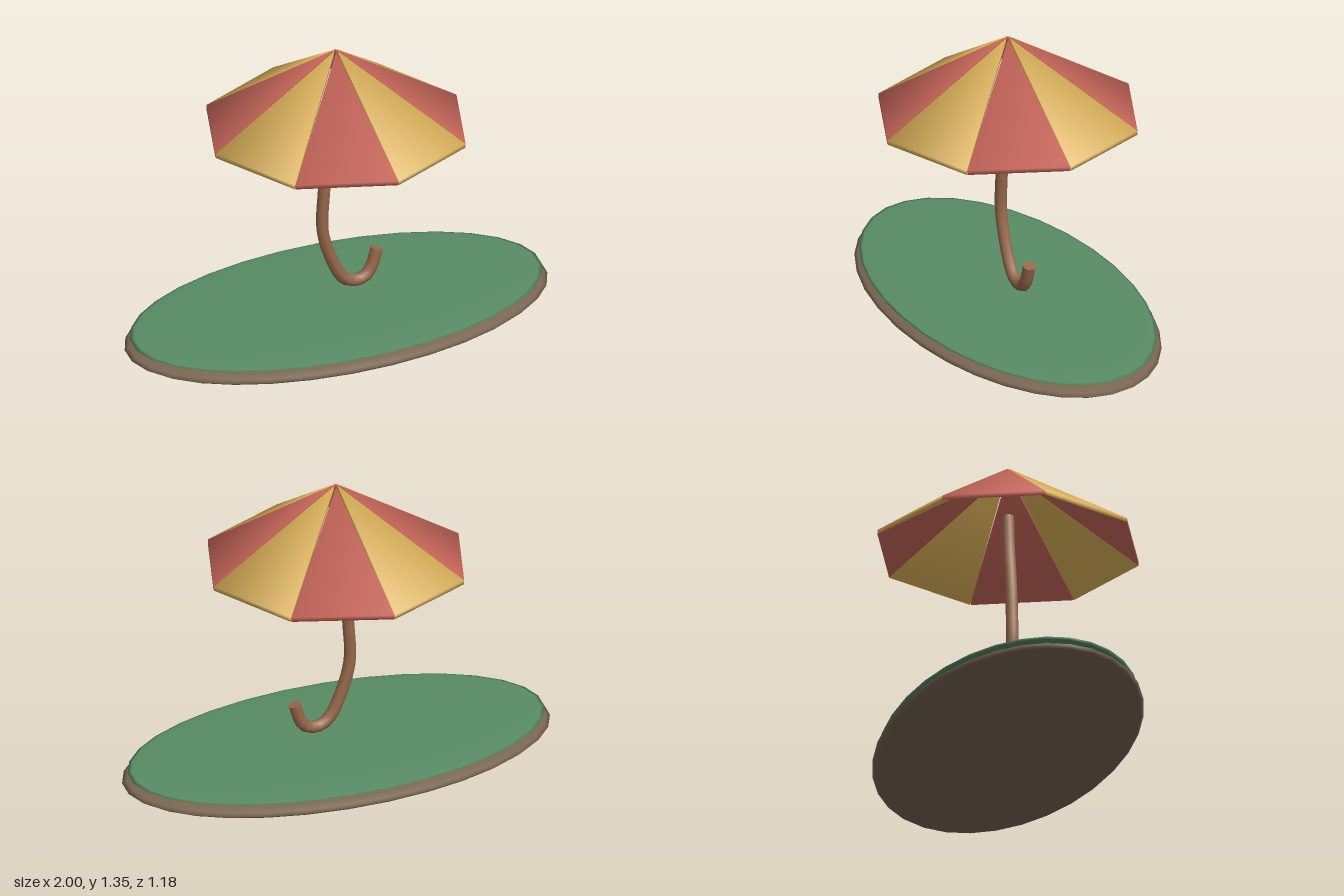
import * as THREE from 'three';

const mat = (name, color) => {
  const m = new THREE.MeshStandardMaterial({ color });
  m.name = name;
  return m;
};

// Solid wedge with one shared, averaged normal per corner (soft shading).
function panelGeometry(halfAngle, rimRadius, apexRadius, apexY, rimY, thickness) {
  const s = Math.sin(halfAngle) * rimRadius, c = Math.cos(halfAngle) * rimRadius;
  const top = [[0, apexY, apexRadius], [-s, rimY, c], [s, rimY, c]];
  const corners = [...top, ...top.map(([x, y, z]) => [x, y - thickness, z])]
    .map(p => new THREE.Vector3(...p));
  const faces = [[0, 1, 2], [5, 4, 3], [0, 3, 4, 1], [1, 4, 5, 2], [2, 5, 3, 0]];
  const normals = corners.map(() => new THREE.Vector3());
  const index = [];
  for (const f of faces) {
    const n = new THREE.Triangle(corners[f[0]], corners[f[1]], corners[f[2]]).getNormal(new THREE.Vector3());
    f.forEach(i => normals[i].add(n));
    for (let k = 1; k + 1 < f.length; k++) index.push(f[0], f[k], f[k + 1]);
  }
  const flat = list => new THREE.Float32BufferAttribute(list.flatMap(v => v.toArray()), 3);
  const g = new THREE.BufferGeometry();
  g.setAttribute('position', flat(corners));
  g.setAttribute('normal', flat(normals.map(n => n.normalize())));
  g.setIndex(index);
  return g;
}

export function createModel() {
  const model = new THREE.Group();
  model.name = 'parasolOnIsland';
  const yellow = mat('canopyYellow', 0xe0b55a);
  const red = mat('canopyRed', 0xc9675b);
  const wood = mat('handleWood', 0x96684a);
  const grass = mat('grassGreen', 0x588c65);
  const earth = mat('earthBrown', 0x7a6653);

  const add = (parent, name, geometry, material) => {
    const mesh = new THREE.Mesh(geometry, material);
    mesh.name = name;
    parent.add(mesh);
    return mesh;
  };

  // Ground: flattened earth disc with a thinner grass disc on top
  const earthBase = add(model, 'earthBase', new THREE.SphereGeometry(1, 32, 16), earth);
  earthBase.scale.set(1, 0.06, 0.545);
  earthBase.position.y = 0.06;
  const grassTop = add(model, 'grassTop', new THREE.SphereGeometry(1, 32, 16), grass);
  grassTop.scale.set(0.975, 0.018, 0.525);
  grassTop.position.y = 0.106;

  // Canopy: eight wedges in alternating colours
  const canopy = new THREE.Group();
  canopy.name = 'canopy';
  model.add(canopy);
  const panel = panelGeometry(Math.PI / 8 - 0.003, 0.59, 0.012, 1.347, 0.983, 0.02);
  for (let i = 0; i < 8; i++) {
    const mesh = add(canopy, `canopyPanel${i + 1}`, panel, i % 2 ? red : yellow);
    mesh.rotation.y = (i + 0.5) * Math.PI / 4;
  }

  // Handle: bent pole ending in a hook, with flat caps
  const handle = new THREE.Group();
  handle.name = 'handle';
  model.add(handle);
  const path = new THREE.CatmullRomCurve3([
    [0, 1.12], [-0.015, 0.97], [-0.045, 0.8], [-0.06, 0.65], [-0.065, 0.47], [-0.012, 0.3],
    [0.03, 0.225], [0.065, 0.198], [0.105, 0.191], [0.145, 0.203], [0.172, 0.237], [0.2, 0.322],
  ].map(([x, y]) => new THREE.Vector3(x, y, 0)));
  const radius = 0.028;
  add(handle, 'handlePole', new THREE.TubeGeometry(path, 36, radius, 8), wood);
  for (const [t, sign, name] of [[0, -1, 'handleTopCap'], [1, 1, 'handleHookCap']]) {
    const cap = add(handle, name, new THREE.CircleGeometry(radius, 8), wood);
    cap.position.copy(path.getPointAt(t));
    cap.quaternion.setFromUnitVectors(new THREE.Vector3(0, 0, 1), path.getTangentAt(t).multiplyScalar(sign));
  }
  return model;
}
